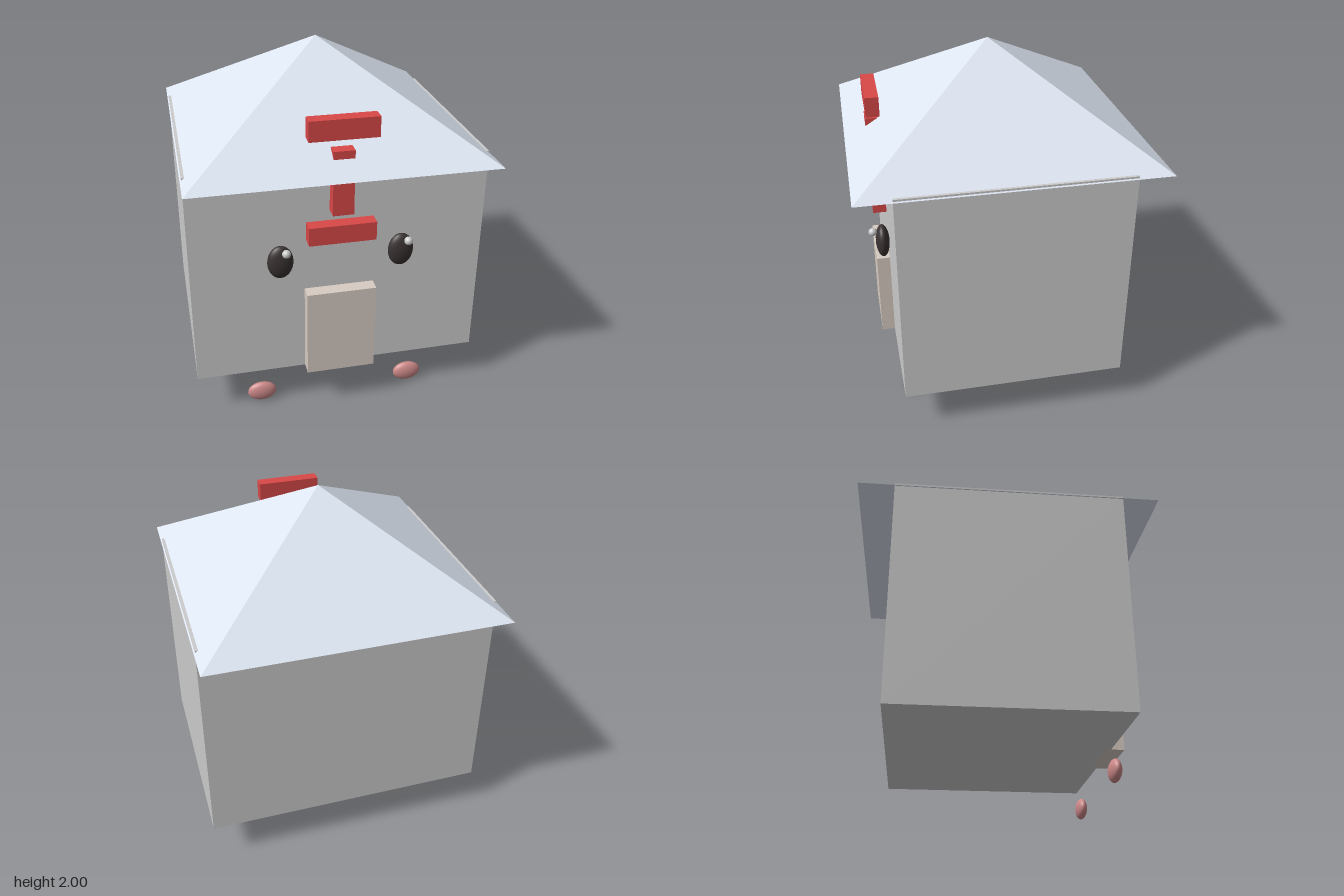
import * as THREE from 'three';

const paint = (color, flatShading = false) => new THREE.MeshStandardMaterial({ color, flatShading });

export function createModel() {
  const house = new THREE.Group();
  house.name = 'house';
  const grey = paint(0xcccccc);
  const roofBlue = paint(0xdce4f0, true);
  const red = paint(0xd94848);
  const doorTan = paint(0xd8ccc2);
  const black = paint(0x3a3232);
  const pink = paint(0xcc8888);

  function add(name, geometry, material, x, y, z, parent = house) {
    const mesh = new THREE.Mesh(geometry, material);
    mesh.name = name;
    mesh.position.set(x, y, z);
    parent.add(mesh);
    return mesh;
  }

  // Box given by its width and its bottom, top, back and front
  function block(name, material, width, y0, y1, z0, z1, parent) {
    const geometry = new THREE.BoxGeometry(width, y1 - y0, z1 - z0);
    return add(name, geometry, material, 0, (y0 + y1) / 2, (z0 + z1) / 2, parent);
  }

  function ellipsoid(name, material, rx, ry, rz, x, y, z) {
    const geometry = new THREE.SphereGeometry(1, 32, 20).scale(rx, ry, rz);
    return add(name, geometry, material, x, y, z);
  }

  // Walls, with the tops just showing along the sides of the roof
  block('walls', grey, 1.615, 0.25, 1.495, -0.62, 0.62);

  // Four-sided pyramid roof
  const roof = new THREE.ConeGeometry(0.815 * Math.SQRT2, 0.52, 4).rotateY(Math.PI / 4);
  add('roof', roof, roofBlue, 0, 1.74, 0);

  block('door', doorTan, 0.385, 0.25, 0.77, 0.6, 0.695);

  // Red emblem: two bars and an upright that passes through the eaves
  const emblem = new THREE.Group();
  emblem.name = 'emblem';
  house.add(emblem);
  block('emblemTopBar', red, 0.365, 1.66, 1.77, 0.62, 0.695, emblem);
  block('emblemUpright', red, 0.113, 1.24, 1.6, 0.62, 0.695, emblem);
  block('emblemBottomBar', red, 0.365, 1.075, 1.18, 0.62, 0.695, emblem);

  // Eyes, eye glints and feet on both sides
  for (const [side, s] of [['left', 1], ['right', -1]]) {
    ellipsoid(side + 'Eye', black, 0.07, 0.096, 0.038, s * 0.33, 0.98, 0.66);
    ellipsoid(side + 'EyeGlint', grey, 0.023, 0.023, 0.023, s * 0.33 + 0.025, 1.055, 0.712);
    ellipsoid(side + 'Foot', pink, 0.083, 0.06, 0.033, s * 0.44, 0.062, 0.57);
  }
  return house;
}
